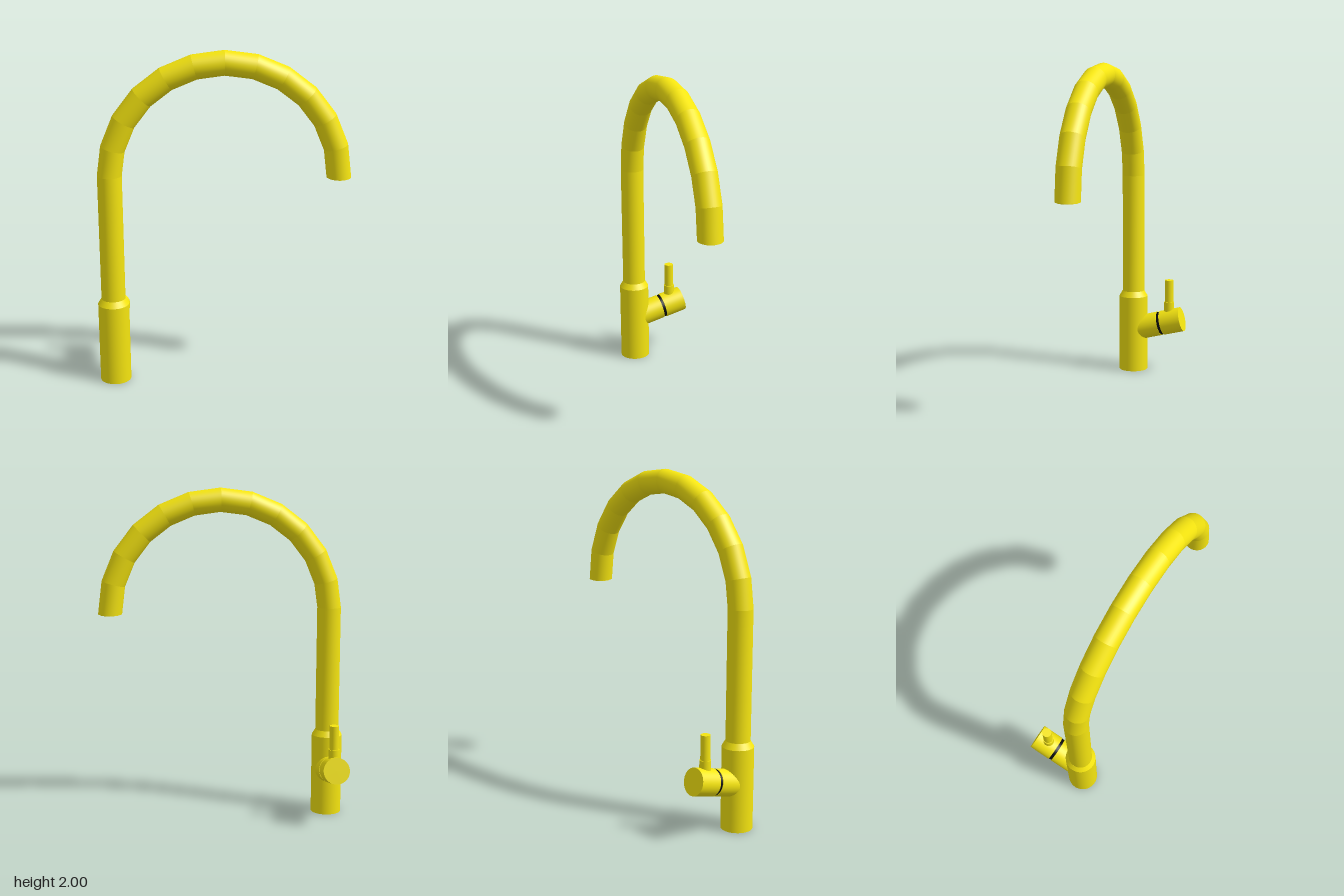
import * as THREE from 'three';

const yellow = new THREE.MeshStandardMaterial({ color: 0xf5e510 });
const black = new THREE.MeshStandardMaterial({ color: 0x0a0a0a });
const AXIS_X = -0.65, AXIS_Z = 0.128, TUBE_R = 0.071;

function addMesh(parent, name, geometry, material = yellow) {
  const mesh = new THREE.Mesh(geometry, material);
  mesh.name = name;
  parent.add(mesh);
  return mesh;
}

// Cylinder running along +y from y0 to y1
function rod(radius, y0, y1, sides = 40) {
  return new THREE.CylinderGeometry(radius, radius, y1 - y0, sides).translate(0, (y0 + y1) / 2, 0);
}

// Mitred pipe: smooth around, with a crease at every bend
function spoutGeometry() {
  const sides = 32, bends = 12, cx = 0.008, cy = 1.27, r = 0.658;
  const rings = [{ x: AXIS_X, y: 0.5, a: Math.PI }];
  for (let i = 0; i <= bends; i++) {
    const a = Math.PI * (1 - i / bends);
    const y = cy + r * Math.sin(a) + (i === 0 ? 0.012 : i === bends ? -0.01 : 0);
    rings.push({ x: cx + r * Math.cos(a), y, a });
  }
  const positions = [], indices = [];
  const addRing = (ring) => {
    for (let i = 0; i < sides; i++) {
      const t = (i / sides) * Math.PI * 2, out = TUBE_R * Math.cos(t);
      positions.push(ring.x + out * Math.cos(ring.a), ring.y + out * Math.sin(ring.a), AXIS_Z + TUBE_R * Math.sin(t));
    }
  };
  for (let s = 0; s < rings.length - 1; s++) {
    const p = positions.length / 3, q = p + sides;
    addRing(rings[s]);
    addRing(rings[s + 1]);
    for (let i = 0; i < sides; i++) {
      const j = (i + 1) % sides;
      indices.push(p + i, p + j, q + j, p + i, q + j, q + i);
    }
  }
  const geometry = new THREE.BufferGeometry();
  geometry.setAttribute('position', new THREE.Float32BufferAttribute(positions, 3));
  geometry.setIndex(indices);
  geometry.computeVertexNormals();
  return geometry;
}

// Outlet plate pierced by concentric rings of small holes
function strainerGeometry() {
  const plate = new THREE.Shape().absarc(0, 0, 0.06, 0, Math.PI * 2);
  const hole = (x, y) => plate.holes.push(new THREE.Path().absarc(x, y, 0.0045, 0, Math.PI * 2, true));
  hole(0, 0);
  for (let k = 1; k <= 3; k++) {
    for (let i = 0; i < 6 * k; i++) {
      const a = (i / (6 * k)) * Math.PI * 2;
      hole(0.015 * k * Math.cos(a), 0.015 * k * Math.sin(a));
    }
  }
  return new THREE.ExtrudeGeometry(plate, { depth: 0.012, bevelEnabled: false, curveSegments: 8 }).rotateX(Math.PI / 2);
}

export function createModel() {
  const model = new THREE.Group();
  model.name = 'kitchenTap';

  // Base column with a chamfered shoulder
  const base = new THREE.Group();
  base.name = 'base';
  base.position.set(AXIS_X, 0, AXIS_Z);
  model.add(base);
  addMesh(base, 'baseColumn', rod(0.092, 0, 0.49));
  addMesh(base, 'baseShoulder', new THREE.CylinderGeometry(TUBE_R, 0.092, 0.035, 40).translate(0, 0.5075, 0));

  // Swan-neck spout and its outlet
  addMesh(model, 'spout', spoutGeometry());
  const outlet = new THREE.Group();
  outlet.name = 'outlet';
  outlet.position.set(0.666, 1.26, AXIS_Z);
  model.add(outlet);
  addMesh(outlet, 'outletRim', new THREE.RingGeometry(0.058, TUBE_R, 32).rotateX(Math.PI / 2));
  addMesh(outlet, 'strainer', strainerGeometry()).position.y = 0.007;
  addMesh(outlet, 'outletBacking', new THREE.CircleGeometry(0.068, 32).rotateX(Math.PI / 2), black).position.y = 0.018;

  // Valve body pointing backwards and tilted up; local y runs along its axis
  const valve = new THREE.Group();
  valve.name = 'valve';
  valve.position.set(AXIS_X, 0.273, 0.11);
  valve.rotation.x = -Math.PI / 2 + 0.245;
  model.add(valve);
  addMesh(valve, 'valveBody', rod(0.078, 0, 0.165));
  addMesh(valve, 'valveSeal', rod(0.0745, 0.16, 0.19), black);
  addMesh(valve, 'valveCap', rod(0.079, 0.183, 0.318));

  // Upright stepped lever
  const lever = new THREE.Group();
  lever.name = 'lever';
  lever.position.set(AXIS_X + 0.002, 0, -0.113);
  model.add(lever);
  addMesh(lever, 'leverCollar', rod(0.033, 0.36, 0.46, 24));
  addMesh(lever, 'leverPin', rod(0.028, 0.45, 0.605, 24));

  return model;
}
